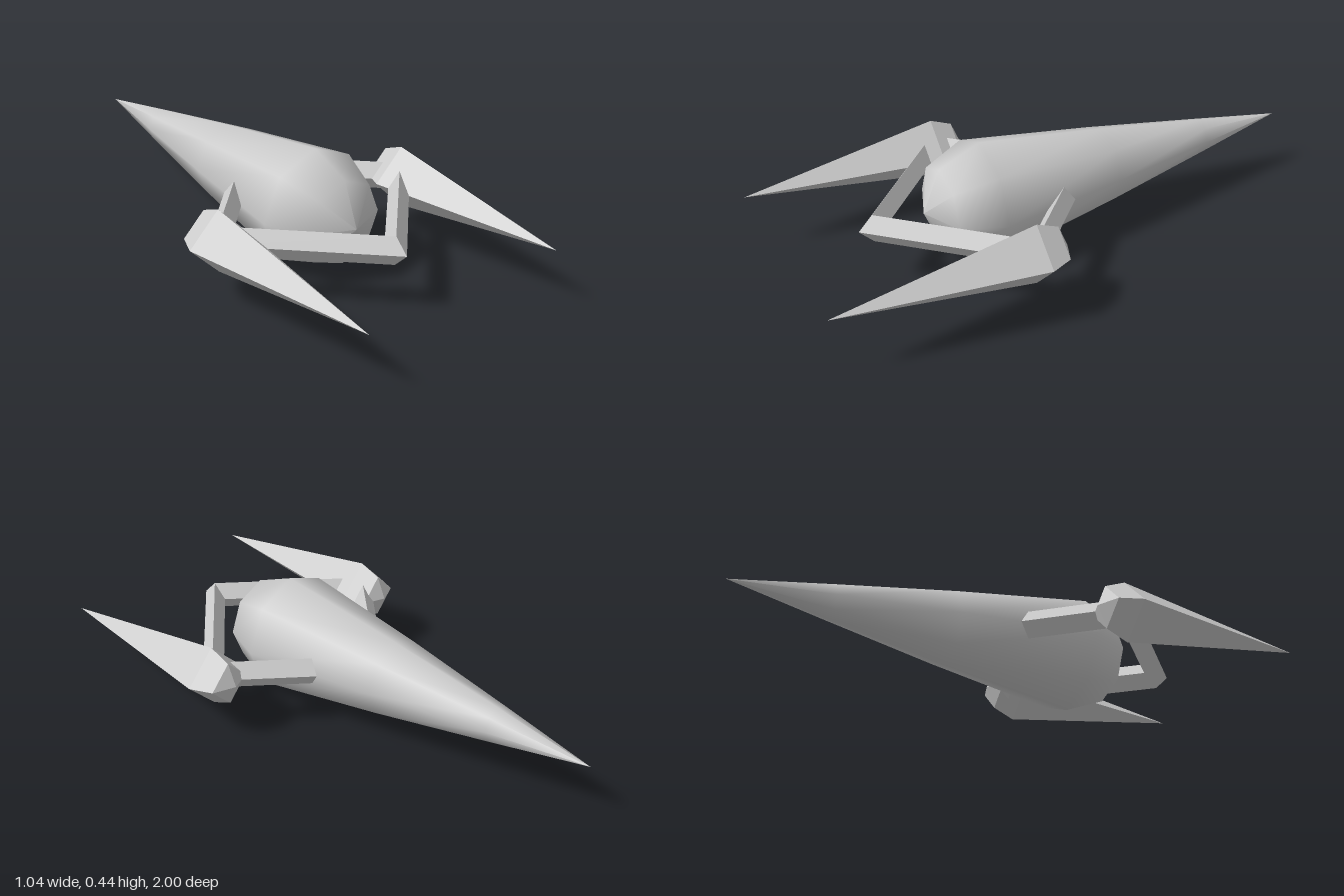
import * as THREE from 'three';

const AXIS_Y = 0.218; // height of the shared centre plane
const HUB_Z = 0.28; // widest station of hull and prongs, centre of the frame

// Revolve [z, radius] stations (back to front) around the z axis
function spindle(stations, sides) {
  const points = stations.map(([z, r]) => new THREE.Vector2(r, z));
  return new THREE.LatheGeometry(points, sides).rotateX(Math.PI / 2);
}

export function createModel() {
  const model = new THREE.Group();
  const smooth = new THREE.MeshStandardMaterial({ color: 0xcccccc });
  const faceted = new THREE.MeshStandardMaterial({ color: 0xcccccc, flatShading: true });

  function add(name, geometry, material, x, y, z) {
    const mesh = new THREE.Mesh(geometry, material);
    mesh.name = name;
    mesh.position.set(x, y, z);
    model.add(mesh);
  }

  // Teardrop hull: long tapering tail, rounded eight-sided nose
  const R = 0.218;
  add('hull', spindle([
    [-1, 0], [-0.64, 0.066], [-0.21, 0.142], [HUB_Z, R],
    [HUB_Z + R * Math.SQRT1_2, R * Math.SQRT1_2], [HUB_Z + R, 0],
  ], 8), smooth, 0, AXIS_Y, 0);

  // Square frame of diamond-section bars, passing through the hull
  const frame = new THREE.TorusGeometry(0.403, 0.052, 4, 4).rotateX(Math.PI / 2);
  add('frame', frame, faceted, 0, AXIS_Y, HUB_Z);

  // Four-sided prongs on the frame's outer corners, pointing forward
  const r = 0.114;
  const prong = spindle([
    [HUB_Z - r, 0], [HUB_Z - r * Math.SQRT1_2, r * Math.SQRT1_2], [HUB_Z, r], [1, 0],
  ], 4);
  for (const side of [1, -1]) {
    add(side > 0 ? 'leftProng' : 'rightProng', prong, faceted, side * 0.405, AXIS_Y, 0);
  }

  return model;
}
